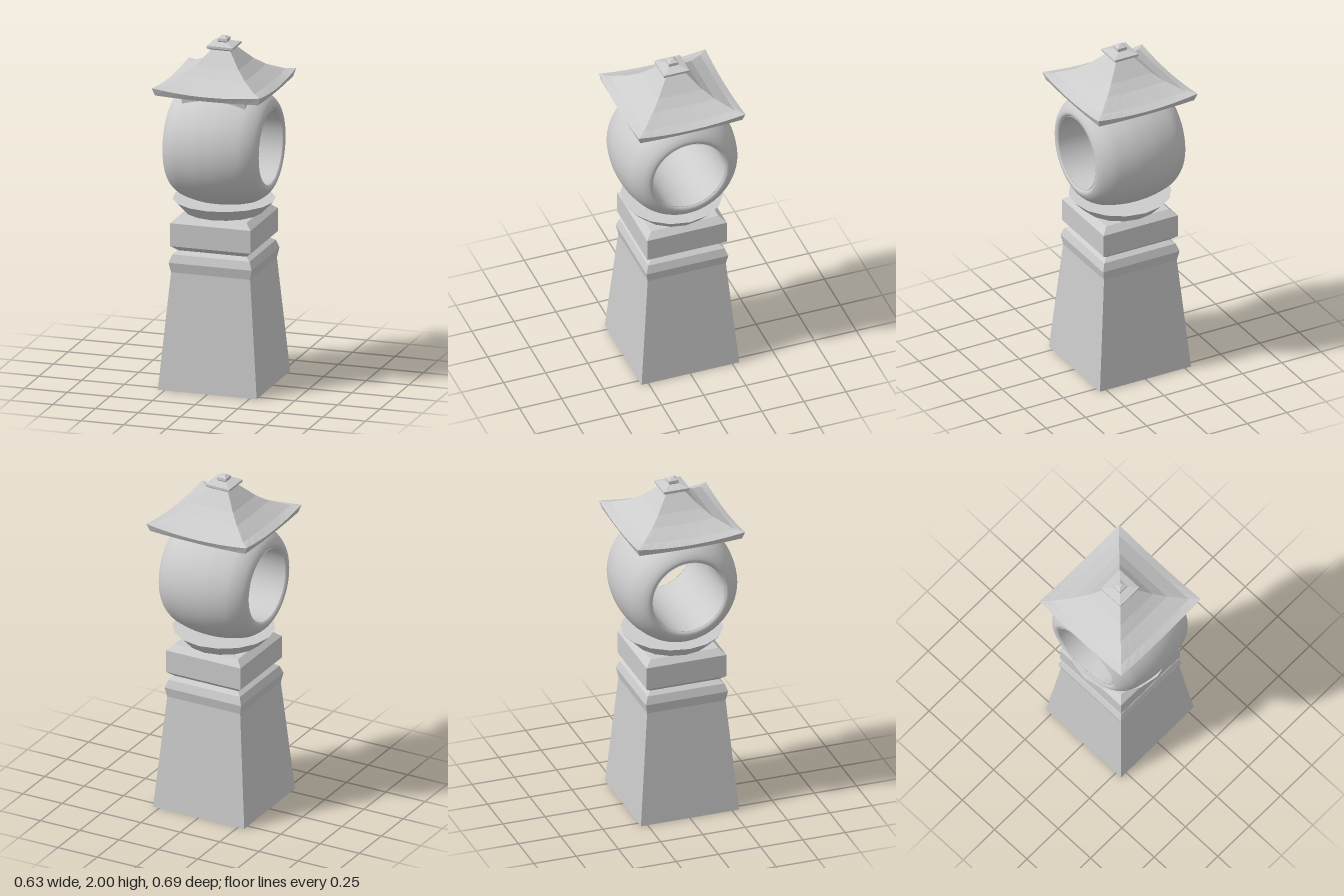
import * as THREE from 'three';

const flat = new THREE.MeshStandardMaterial({ color: 0xcccccc, flatShading: true, side: THREE.DoubleSide });
const smooth = new THREE.MeshStandardMaterial({ color: 0xcccccc });

// Flat-sided solid from [halfWidth, y] pairs, listed bottom to top.
function faceted(name, profile, sides) {
  const square = sides === 4;
  const k = square ? Math.SQRT2 : 1;
  const points = profile.map(([w, y]) => new THREE.Vector2(w * k, y));
  const mesh = new THREE.Mesh(new THREE.LatheGeometry(points, sides, square ? Math.PI / 4 : 0), flat);
  mesh.name = name;
  return mesh;
}

// Square roof made of rings [halfWidth, y, cornerLift], bottom to top.
function roofGeometry(rings, perSide) {
  const n = perSide * 4, pos = [], index = [];
  for (const [w, y, lift] of rings) {
    for (let i = 0; i < n; i++) {
      const t = ((i % perSide) / perSide) * 2 - 1;
      const side = Math.floor(i / perSide);
      const p = new THREE.Vector3(t * w, y + lift * t * t, w);
      p.applyAxisAngle(new THREE.Vector3(0, 1, 0), side * Math.PI / 2);
      pos.push(p.x, p.y, p.z);
    }
  }
  for (let r = 0; r < rings.length - 1; r++) {
    for (let i = 0; i < n; i++) {
      const a = r * n + i, b = r * n + (i + 1) % n;
      index.push(a, b, b + n, a, b + n, a + n);
    }
  }
  const g = new THREE.BufferGeometry();
  g.setAttribute('position', new THREE.Float32BufferAttribute(pos, 3));
  g.setIndex(index);
  g.computeVertexNormals();
  return g;
}

export function createModel() {
  const model = new THREE.Group();
  model.name = 'stoneLantern';

  // Tapered pedestal, open underneath, with a moulded shoulder
  model.add(faceted('pedestal', [[0.29, 0], [0.232, 0.67], [0.243, 0.727], [0.227, 0.773], [0.195, 0.795], [0, 0.795]], 4));

  // Chamfered square block
  model.add(faceted('middleBlock', [[0, 0.792], [0.2, 0.792], [0.236, 0.822], [0.236, 0.955], [0.2, 0.988], [0, 0.988]], 4));

  // Flared round collar under the fire box
  model.add(faceted('collar', [[0, 0.988], [0.22, 0.99], [0.287, 1.06], [0, 1.06]], 16));

  // Rounded fire box, turned about the x axis with a hole through it
  const half = [[0.345, 0], [0.34, 0.085], [0.32, 0.18], [0.298, 0.228], [0.27, 0.262], [0.243, 0.279], [0.225, 0.28], [0.214, 0.27], [0.212, 0.25], [0.212, 0]];
  const mirrored = half.slice(1).reverse().map(([r, x]) => [r, -x]);
  const outline = new THREE.SplineCurve([...mirrored, ...half].map(([r, x]) => new THREE.Vector2(r, x)));
  const fireBox = new THREE.Mesh(new THREE.LatheGeometry(outline.getPoints(72), 64), smooth);
  fireBox.name = 'fireBox';
  fireBox.rotation.z = -Math.PI / 2;
  fireBox.position.y = 1.378;
  model.add(fireBox);

  // Square seat between fire box and roof
  model.add(faceted('roofSeat', [[0, 1.625], [0.183, 1.625], [0.19, 1.71], [0, 1.71]], 4));

  // Concave roof with upturned corners
  const roof = new THREE.Mesh(roofGeometry([
    [0.15, 1.7, 0], [0.303, 1.7, 0.008], [0.317, 1.728, 0.024], [0.27, 1.748, 0.01],
    [0.185, 1.798, 0.003], [0.13, 1.845, 0], [0.05, 1.935, 0], [0, 1.935, 0],
  ], 8), flat);
  roof.name = 'roof';
  model.add(roof);

  // Stepped finial
  model.add(faceted('finialPlate', [[0, 1.93], [0.062, 1.93], [0.076, 1.94], [0.076, 1.953], [0.027, 1.967], [0, 1.967]], 4));
  model.add(faceted('finialKnob', [[0.022, 1.964], [0.029, 1.973], [0.028, 1.988], [0.009, 2], [0, 2]], 4));

  return model;
}
